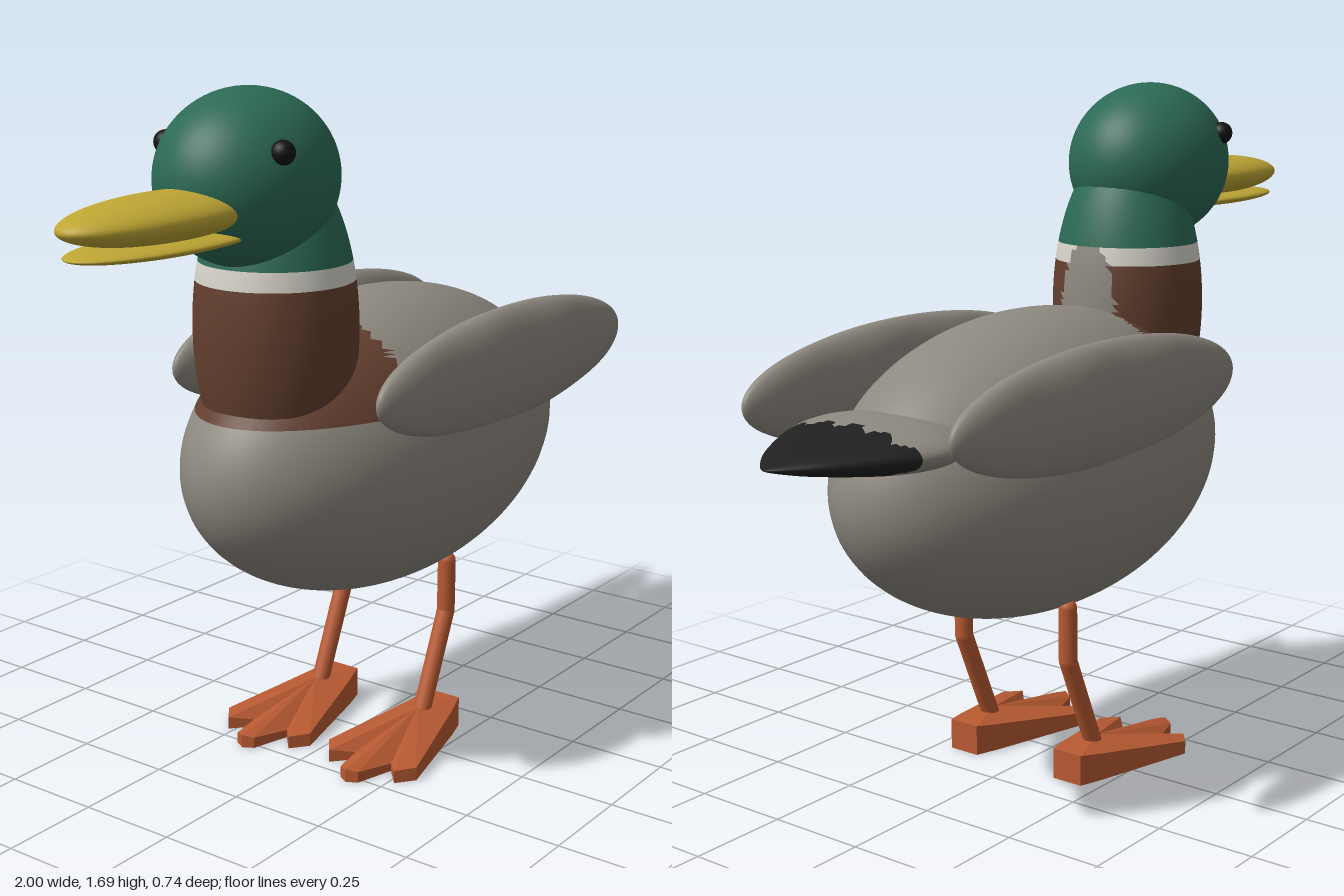
import * as THREE from 'three';

const material = (name, color, side = THREE.FrontSide) => {
  const m = new THREE.MeshStandardMaterial({ color, side });
  m.name = name;
  return m;
};

export function createModel() {
  const grey = material('grey feathers', 0x8e8980);
  const brown = material('brown breast', 0x633f2e);
  const green = material('green head', 0x2c6a55);
  const white = material('white collar', 0xd6d3ca);
  const black = material('black tail', 0x202020);
  const yellow = material('yellow bill', 0xbfa634);
  const orange = material('orange legs', 0xb85a32);
  const dark = material('dark eye', 0x121212);
  orange.flatShading = false;

  const duck = new THREE.Group();
  duck.name = 'duck';
  const add = (name, geometry, mat, parent = duck) => {
    const mesh = new THREE.Mesh(geometry, mat);
    mesh.name = name;
    parent.add(mesh);
    return mesh;
  };

  // Ellipsoid, optionally only the band between two heights
  const ellipsoid = ([x, y, z], [rx, ry, rz], top = y + ry, bottom = y - ry, w = 64, h = 40) => {
    const angle = (v) => Math.acos(THREE.MathUtils.clamp((v - y) / ry, -1, 1));
    const start = angle(top);
    return new THREE.SphereGeometry(1, w, h, 0, Math.PI * 2, start, angle(bottom) - start)
      .scale(rx, ry, rz).translate(x, y, z);
  };

  // Sorts triangles into two material groups by a rule on their centre
  const split = (geometry, rule) => {
    const index = geometry.index.array;
    const p = geometry.attributes.position;
    const sides = [[], []];
    for (let i = 0; i < index.length; i += 3) {
      const tri = [index[i], index[i + 1], index[i + 2]];
      const mean = (get) => (get(tri[0]) + get(tri[1]) + get(tri[2])) / 3;
      const chosen = rule(mean((k) => p.getX(k)), mean((k) => p.getZ(k))) ? 1 : 0;
      sides[chosen].push(...tri);
    }
    geometry.setIndex([...sides[0], ...sides[1]]);
    geometry.clearGroups();
    geometry.addGroup(0, sides[0].length, 0);
    geometry.addGroup(sides[0].length, sides[1].length, 1);
    return geometry;
  };
  const behind = (x) => x > -0.15;

  // Body, with the brown breast on its upper front
  const bodyAt = [0.075, 0.785, 0];
  const bodySize = [0.645, 0.375, 0.34];
  add('lowerBody', ellipsoid(bodyAt, bodySize, 0.93), grey);
  add('upperBody', split(ellipsoid(bodyAt, bodySize, undefined, 0.93), behind), [brown, grey]);

  // Neck in three bands; grey runs up the nape
  const neckAt = [-0.325, 1.13, 0];
  const neckSize = [0.193, 0.42, 0.195];
  add('upperNeck', ellipsoid(neckAt, neckSize, undefined, 1.29), green);
  add('collar', split(ellipsoid(neckAt, neckSize, 1.29, 1.245, 64, 4), behind), [white, grey]);
  add('lowerNeck', split(ellipsoid(neckAt, neckSize, 1.245), behind), [brown, grey]);

  // Head and bill
  add('head', ellipsoid([-0.42, 1.488, 0], [0.235, 0.203, 0.195]), green);
  add('upperBill', ellipsoid([-0.7, 1.436, 0], [0.3, 0.052, 0.125]), yellow);
  add('lowerBill', ellipsoid([-0.69, 1.378, 0], [0.295, 0.02, 0.115]), yellow);

  // Tail: a flattened pointed lathe with a black end
  const tailProfile = [
    [0.3, 0], [0.35, 0.09], [0.45, 0.15], [0.57, 0.2], [0.65, 0.22],
    [0.75, 0.192], [0.89, 0.108], [0.97, 0.038], [1, 0],
  ];
  const tailCurve = new THREE.SplineCurve(tailProfile.map(([x, r]) => new THREE.Vector2(r, x)));
  const tailPoints = tailCurve.getPoints(80).map((v) => new THREE.Vector2(Math.max(v.x, 0), v.y));
  const tail = new THREE.LatheGeometry(tailPoints, 64)
    .rotateZ(-Math.PI / 2).scale(1, 0.275, 1).translate(0, 0.93, 0);
  add('tail', split(tail, (x, z) => x > 0.74 + 0.015 * Math.sin(z * 75)), [grey, black]);

  // Folded wing: long ellipsoid with a gently rippled thickness
  const wingGeometry = new THREE.SphereGeometry(1, 48, 64).rotateZ(Math.PI / 2);
  const wp = wingGeometry.attributes.position;
  for (let i = 0; i < wp.count; i++) {
    const u = wp.getX(i);
    const ripple = 1 - 0.06 * Math.cos((u * Math.PI * 2) / 0.58);
    wp.setXYZ(i, u * 0.553, wp.getY(i) * 0.145, wp.getZ(i) * 0.064 * ripple);
  }
  wingGeometry.computeVertexNormals();

  // Webbed foot outline: x, z, edge height
  const half = [
    [0.16, 0.042, 0.078], [0.1, 0.062, 0.07], [-0.17, 0.135, 0.034], [-0.215, 0.1, 0.032],
    [-0.165, 0.055, 0.02], [-0.265, 0.027, 0.028],
  ];
  const outline = [...half, [-0.28, 0, 0.034], ...half.map(([x, z, h]) => [x, -z, h]).reverse()];
  const footVertices = [];
  outline.forEach(([ax, az, ah], i) => {
    const [bx, bz, bh] = outline[(i + 1) % outline.length];
    footVertices.push(
      0.03, 0.085, 0, bx, bh, bz, ax, ah, az, // top
      0.03, 0, 0, ax, 0, az, bx, 0, bz, // sole
      ax, ah, az, bx, bh, bz, ax, 0, az, // rim
      bx, bh, bz, bx, 0, bz, ax, 0, az,
    );
  });
  const footGeometry = new THREE.BufferGeometry();
  footGeometry.setAttribute('position', new THREE.Float32BufferAttribute(footVertices, 3));
  footGeometry.computeVertexNormals();

  // Leg segment between two points
  const limb = (a, b, r) => {
    const from = new THREE.Vector3(...a);
    const to = new THREE.Vector3(...b);
    const direction = to.clone().sub(from);
    const turn = new THREE.Quaternion()
      .setFromUnitVectors(new THREE.Vector3(0, 1, 0), direction.clone().normalize());
    const middle = from.add(to).multiplyScalar(0.5);
    return new THREE.CylinderGeometry(r, r, direction.length(), 20)
      .applyQuaternion(turn).translate(middle.x, middle.y, middle.z);
  };

  // Paired parts
  for (const side of [1, -1]) {
    const label = side > 0 ? 'front' : 'back';
    add(`${label}Wing`, wingGeometry, grey).position.set(0.2075, 0.985, side * 0.306);
    add(`${label}Eye`, ellipsoid([-0.503, 1.563, side * 0.168], [0.028, 0.028, 0.028], undefined, undefined, 20, 14), dark);

    const leg = new THREE.Group();
    leg.name = `${label}Leg`;
    leg.position.z = side * 0.165;
    duck.add(leg);
    const hip = [0.158, 0.45, 0];
    const knee = [0.156, 0.315, 0];
    add('thigh', limb(hip, knee, 0.023), orange, leg);
    add('shin', limb(knee, [0.045, 0.06, 0], 0.023), orange, leg);
    for (const [name, at] of [['hip', hip], ['knee', knee]]) {
      add(name, new THREE.SphereGeometry(0.023, 20, 14), orange, leg).position.set(...at);
    }
    add('foot', footGeometry, orange, leg);
  }
  return duck;
}
